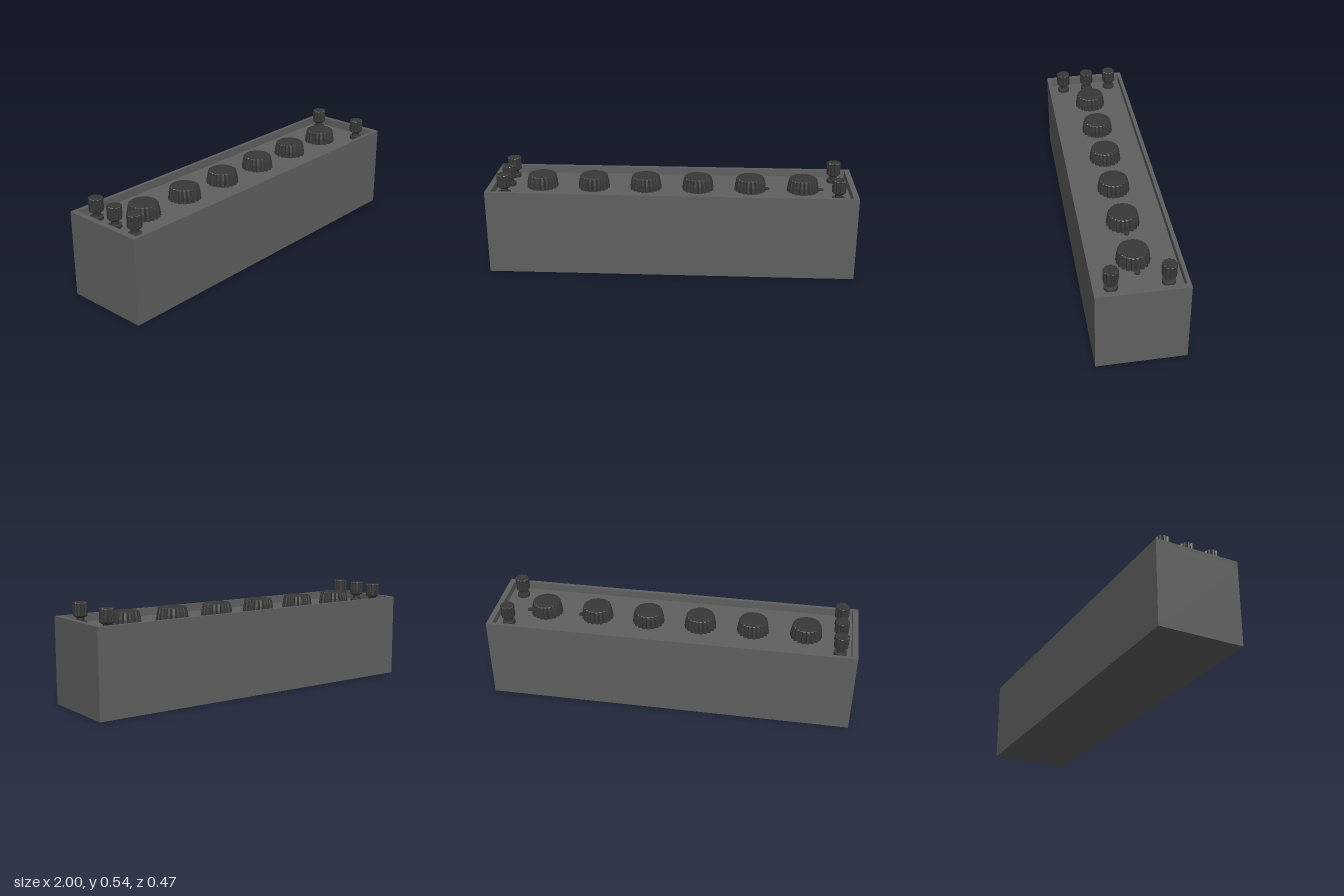
import * as THREE from 'three';

const mat = (name, color) => {
  const m = new THREE.MeshStandardMaterial({ color });
  m.name = name;
  return m;
};

// Lathed profile of [radius, y, groove] rings with evenly spaced grooves
function fluted(rings, grooves) {
  const per = 4;
  const geo = new THREE.LatheGeometry(rings.map(([r, y]) => new THREE.Vector2(r, y)), grooves * per);
  const pos = geo.attributes.position;
  for (let i = 0; i < pos.count; i++) {
    const column = Math.floor(i / rings.length);
    const [r, , groove] = rings[i % rings.length];
    if (r === 0 || !groove) continue;
    const k = 1 - (column % per === 0 ? groove / r : 0);
    pos.setX(i, pos.getX(i) * k);
    pos.setZ(i, pos.getZ(i) * k);
  }
  const flat = geo.toNonIndexed();
  flat.computeVertexNormals();
  return flat;
}

export function createModel() {
  const group = new THREE.Group();
  const grey = mat('caseGrey', 0x606060);
  const dark = mat('knobCharcoal', 0x383838);
  const add = (name, geo, material, x = 0, y = 0, z = 0) => {
    const mesh = new THREE.Mesh(geo, material);
    mesh.name = name;
    mesh.position.set(x, y, z);
    group.add(mesh);
  };

  const H = 0.466, W = 0.466, FLOOR = 0.424;

  // Case: solid lower block with a raised rim around the recessed panel
  add('caseBody', new THREE.BoxGeometry(2, FLOOR, W), grey, 0, FLOOR / 2, 0);
  const rect = (Type, hx, hy) => new Type().setFromPoints([
    new THREE.Vector2(-hx, -hy), new THREE.Vector2(hx, -hy),
    new THREE.Vector2(hx, hy), new THREE.Vector2(-hx, hy)]);
  const rimShape = rect(THREE.Shape, 1, W / 2);
  rimShape.holes.push(rect(THREE.Path, 0.97, 0.213));
  const rim = new THREE.ExtrudeGeometry(rimShape, { depth: H - FLOOR, bevelEnabled: false });
  rim.rotateX(-Math.PI / 2);
  add('caseRim', rim, grey, 0, FLOOR, 0);

  // Row of six ribbed control knobs with a smooth crown
  const knob = fluted([
    [0, 0], [0.087, 0, 0.01], [0.083, 0.035, 0.01], [0.076, 0.067, 0.006],
    [0.07, 0.071], [0.045, 0.073], [0, 0.074]], 20);
  for (let i = 0; i < 6; i++) add('controlKnob', knob, dark, -0.725 + i * 0.289, FLOOR, 0);

  // Small posts: wide foot, thin neck, fluted cap
  const post = fluted([
    [0, 0], [0.034, 0], [0.034, 0.016], [0.02, 0.02], [0.02, 0.036],
    [0.03, 0.042], [0.038, 0.049, 0.006], [0.038, 0.113, 0.006], [0.036, 0.116, 0.006],
    [0, 0.116]], 9);
  for (const [x, z] of [[-0.91, -0.142], [-0.91, -0.004], [-0.91, 0.14], [0.9, -0.142], [0.9, 0.14]])
    add('terminalPost', post, dark, x, FLOOR, z);

  // Tiny index marks beside the two end knobs
  const mark = new THREE.CylinderGeometry(0.014, 0.014, 0.008, 12);
  for (const x of [0.523, 0.82]) add('indexMark', mark, dark, x, FLOOR + 0.004, -0.004);

  return group;
}
